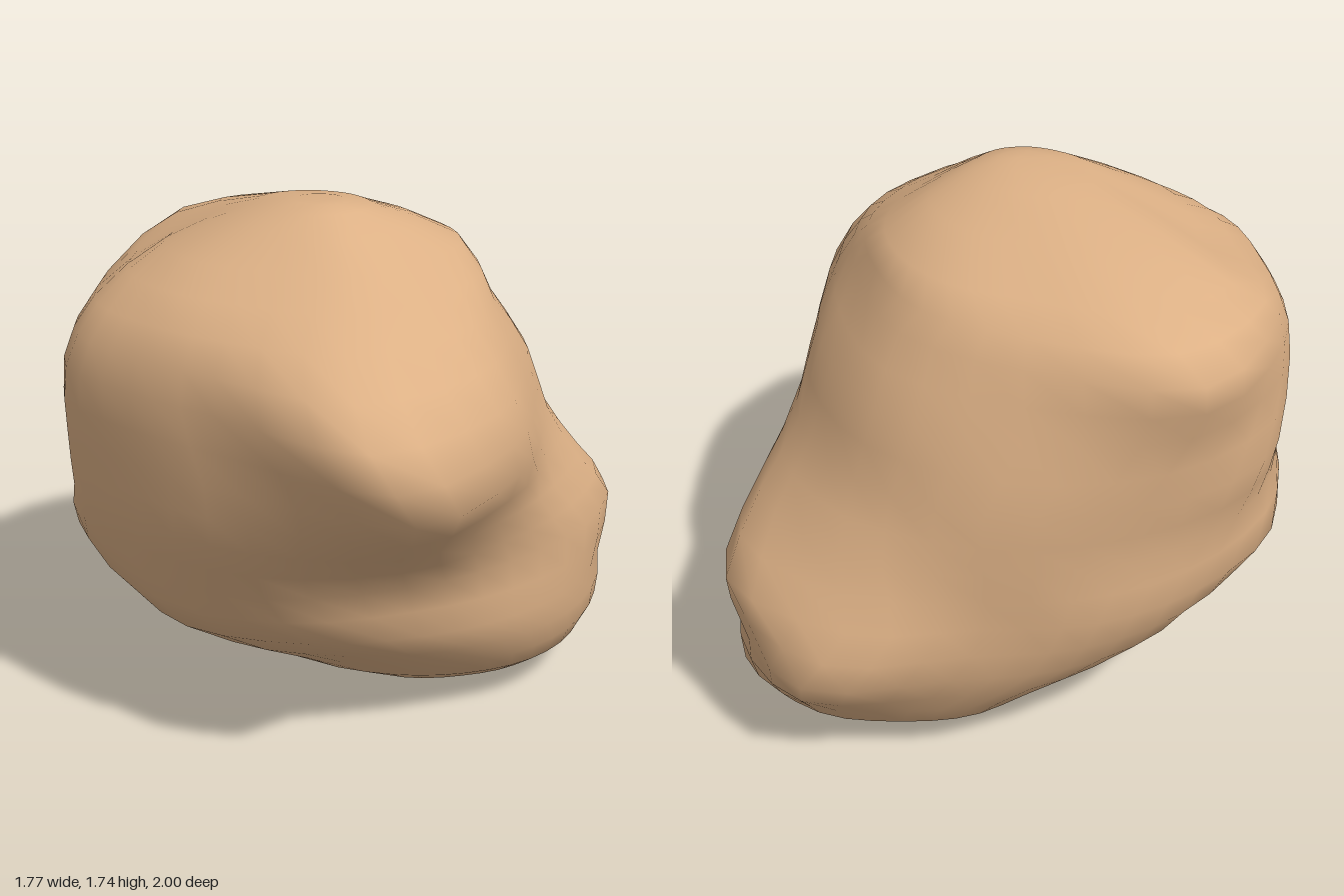
import * as THREE from 'three';
import { mergeVertices } from 'three/addons/utils/BufferGeometryUtils.js';

// Horizontal sections: height, centre x and z, then radii every 30 degrees from +x towards +z
const sections = [
  { y: 0.08, x: 0.30, z: -0.33, r: [.43, .40, .38, .40, .41, .38, .34, .36, .39, .40, .44, .47] },
  { y: 0.22, x: 0.25, z: -0.30, r: [.60, .56, .55, .57, .66, .66, .60, .56, .54, .54, .64, .68] },
  { y: 0.40, x: 0.10, z: -0.20, r: [.75, .68, .67, .74, .84, .84, .77, .72, .68, .69, .91, .86] },
  { y: 0.60, x: 0.00, z: -0.23, r: [.86, .78, .80, .90, .92, .95, .86, .73, .67, .65, .83, .98] },
  { y: 0.80, x: 0.00, z: -0.05, r: [.77, .76, .88, .84, .82, .88, .86, .85, .83, .84, .90, .90] },
  { y: 1.00, x: 0.00, z: 0.00, r: [.73, .85, 1.08, .84, .79, .87, .86, .93, .90, .88, .83, .77] },
  { y: 1.23, x: -0.10, z: 0.10, r: [.78, .91, 1.05, .71, .66, .73, .75, .86, .97, .93, .90, .81] },
  { y: 1.43, x: -0.10, z: 0.10, r: [.67, .73, .77, .62, .58, .62, .66, .83, 1.03, .86, .78, .67] },
  { y: 1.58, x: -0.10, z: -0.10, r: [.52, .54, .63, .55, .52, .48, .46, .66, .63, .51, .50, .50] },
  { y: 1.715, x: 0.00, z: 0.05, r: [.16, .17, .18, .18, .18, .20, .22, .26, .26, .22, .18, .16] },
];
const bottom = new THREE.Vector3(0.33, 0, -0.38);
const top = new THREE.Vector3(0.02, 1.735, 0.08);
const around = 36, up = 22;

// Smooth closed loop through one section
function loop({ y, x, z, r }) {
  const pts = r.map((d, i) => {
    const a = (i * Math.PI) / 6;
    return new THREE.Vector3(x + d * Math.cos(a), y, z + d * Math.sin(a));
  });
  return new THREE.CatmullRomCurve3(pts, true, 'catmullrom', 0.5);
}

function boulderGeometry() {
  const loops = sections.map(loop);
  const position = [], index = [];
  // Run a curve from pole to pole through every section at each angle
  for (let i = 0; i < around; i++) {
    const column = new THREE.CatmullRomCurve3(
      [bottom, ...loops.map((c) => c.getPoint(i / around)), top], false, 'catmullrom', 0.5);
    for (let j = 0; j <= up; j++) {
      const p = column.getPoint(j / up);
      position.push(p.x, Math.max(p.y, 0), p.z);
    }
  }
  // Skin neighbouring columns, with single triangles at the poles
  for (let i = 0; i < around; i++) {
    for (let j = 0; j < up; j++) {
      const a = i * (up + 1) + j, b = ((i + 1) % around) * (up + 1) + j;
      if (j < up - 1) index.push(a, a + 1, b + 1);
      if (j > 0) index.push(a, b + 1, b);
    }
  }
  const raw = new THREE.BufferGeometry();
  raw.setAttribute('position', new THREE.Float32BufferAttribute(position, 3));
  raw.setIndex(index);
  const geometry = mergeVertices(raw, 1e-4);
  geometry.computeVertexNormals();
  return geometry;
}

export function createModel() {
  const stone = new THREE.MeshStandardMaterial({ color: 0xdcb085 });
  stone.name = 'tan stone';
  const boulder = new THREE.Mesh(boulderGeometry(), stone);
  boulder.name = 'boulder';
  const group = new THREE.Group();
  group.name = 'lumpyRock';
  group.add(boulder);
  return group;
}
